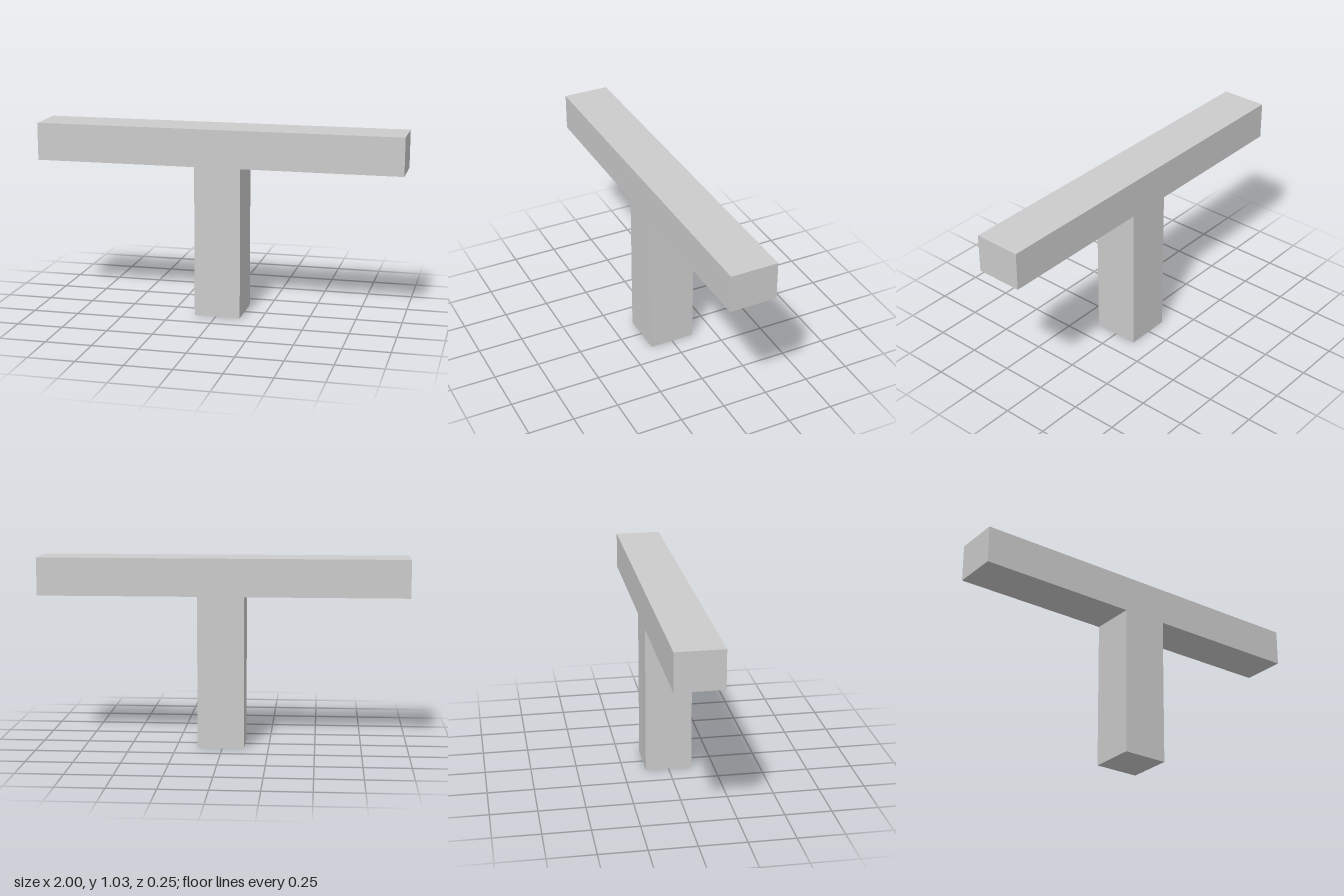
import * as THREE from 'three';

const DEPTH = 0.254;
const TOP = 1.03;
const UNDERSIDE = 0.825;
const POST_LEFT = 0.134;
const POST_RIGHT = -0.118;

export function createModel() {
  const group = new THREE.Group();
  group.name = 'teeBeam';
  const material = new THREE.MeshStandardMaterial({ color: 0xcccccc, flatShading: true });

  // Post and crossbar are one flush T-shaped solid, the post slightly off centre
  const profile = new THREE.Shape([
    [POST_RIGHT, 0], [POST_LEFT, 0],
    [POST_LEFT, UNDERSIDE], [1, UNDERSIDE],
    [1, TOP], [-1, TOP],
    [-1, UNDERSIDE], [POST_RIGHT, UNDERSIDE],
  ].map(([x, y]) => new THREE.Vector2(x, y)));

  const geometry = new THREE.ExtrudeGeometry(profile, { depth: DEPTH, bevelEnabled: false });
  geometry.translate(0, 0, -DEPTH / 2);

  const beam = new THREE.Mesh(geometry, material);
  beam.name = 'postAndCrossbar';
  group.add(beam);
  return group;
}
